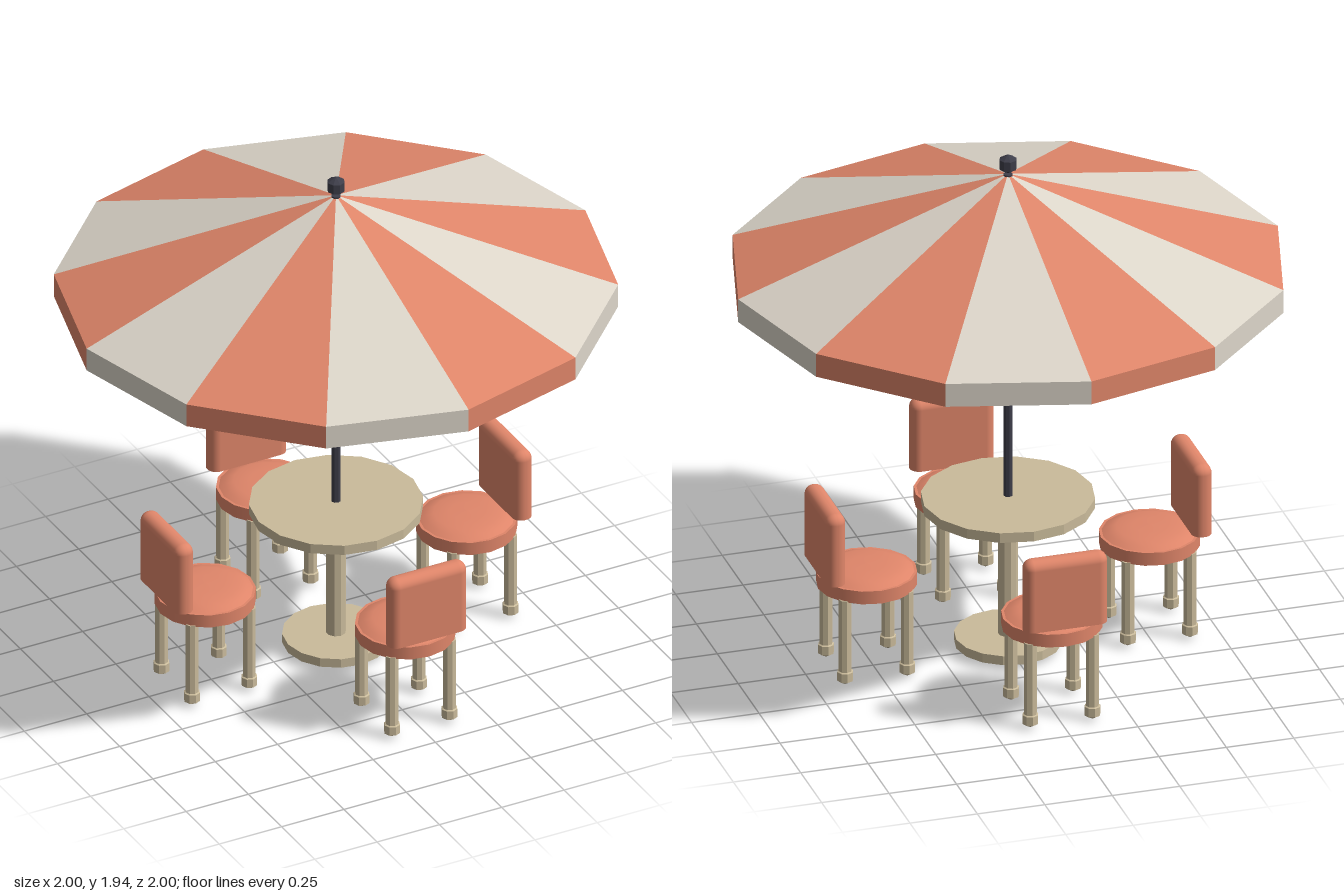
import * as THREE from 'three';
import { RoundedBoxGeometry } from 'three/addons/geometries/RoundedBoxGeometry.js';

const material = (name, color, extra = {}) => {
  const m = new THREE.MeshStandardMaterial({ color, ...extra });
  m.name = name;
  return m;
};

export function createModel() {
  const coral = material('coral', 0xe0866a, { side: THREE.DoubleSide });
  const cream = material('cream', 0xddd6ca, { side: THREE.DoubleSide });
  const wood = material('pale wood', 0xcabb9b, { flatShading: true });
  const dark = material('dark metal', 0x3e3e4a, { flatShading: true });

  const model = new THREE.Group();
  model.name = 'parasolTableSet';

  const add = (parent, name, geometry, mat, x = 0, y = 0, z = 0) => {
    const mesh = new THREE.Mesh(geometry, mat);
    mesh.name = name;
    mesh.position.set(x, y, z);
    parent.add(mesh);
    return mesh;
  };
  // upright cylinder between two heights
  const post = (parent, name, r, y0, y1, sides, mat, x = 0, z = 0) =>
    add(parent, name, new THREE.CylinderGeometry(r, r, y1 - y0, sides), mat, x, (y0 + y1) / 2, z);

  // Parasol canopy: alternating wedges, each with its hanging valance
  const canopy = new THREE.Group();
  canopy.name = 'canopy';
  model.add(canopy);
  const apex = [0, 1.87, 0], rimY = 1.52, hemY = 1.43, panels = 12;
  const panel = (i) => {
    const at = (k, y) => {
      const a = (k / panels) * Math.PI * 2;
      return [Math.cos(a), y, Math.sin(a)];
    };
    const a = at(i, rimY), b = at(i + 1, rimY), c = at(i, hemY), d = at(i + 1, hemY);
    const g = new THREE.BufferGeometry();
    g.setAttribute('position', new THREE.Float32BufferAttribute(
      [apex, b, a, a, b, d, a, d, c].flat(), 3));
    g.computeVertexNormals();
    return g;
  };
  for (let i = 0; i < panels; i++) add(canopy, 'canopyPanel', panel(i), i % 2 ? cream : coral);

  // Pole and finial
  post(model, 'parasolPole', 0.017, 0.58, 1.87, 8, dark);
  add(model, 'finial', new THREE.SphereGeometry(0.037, 8, 3), dark, 0, 1.91, 0);

  // Table
  const table = new THREE.Group();
  table.name = 'table';
  model.add(table);
  post(table, 'tableTop', 0.31, 0.565, 0.603, 16, wood);
  post(table, 'tablePedestal', 0.036, 0.05, 0.57, 10, wood);
  post(table, 'tableBase', 0.192, 0.025, 0.06, 16, wood);

  // Chair backrest: rounded sides and top, flat cut at the bottom
  const backHeight = 0.275, round = 0.035;
  const backGeo = new RoundedBoxGeometry(0.31, backHeight + round, 0.073, 4, round);
  const p = backGeo.attributes.position;
  const cut = -(backHeight + round) / 2 + round;
  for (let i = 0; i < p.count; i++) p.setY(i, Math.max(p.getY(i), cut));
  backGeo.translate(0, -cut, 0);

  const cushionGeo = new THREE.LatheGeometry(
    [[0.172, 0.384], [0.15, 0.395], [0.118, 0.406], [0.06, 0.409], [0, 0.41]]
      .map(([r, y]) => new THREE.Vector2(r, y)), 16);

  // Four chairs around the table, backrests facing outward
  const makeChair = () => {
    const chair = new THREE.Group();
    chair.name = 'chair';
    post(chair, 'seat', 0.18, 0.335, 0.385, 16, coral);
    add(chair, 'cushion', cushionGeo, coral);
    add(chair, 'backrest', backGeo, coral, 0, 0.41, 0.155);
    for (const x of [-0.115, 0.115]) {
      for (const z of [-0.115, 0.115]) {
        post(chair, 'chairLeg', 0.024, 0.04, 0.34, 8, wood, x, z);
        add(chair, 'chairFoot', new THREE.SphereGeometry(0.034, 8, 3), wood, x, 0.038, z);
      }
    }
    return chair;
  };
  for (let i = 0; i < 4; i++) {
    const a = (i * Math.PI) / 2;
    const chair = makeChair();
    chair.position.set(0.524 * Math.sin(a), 0, 0.524 * Math.cos(a));
    chair.rotation.y = a;
    model.add(chair);
  }
  return model;
}
